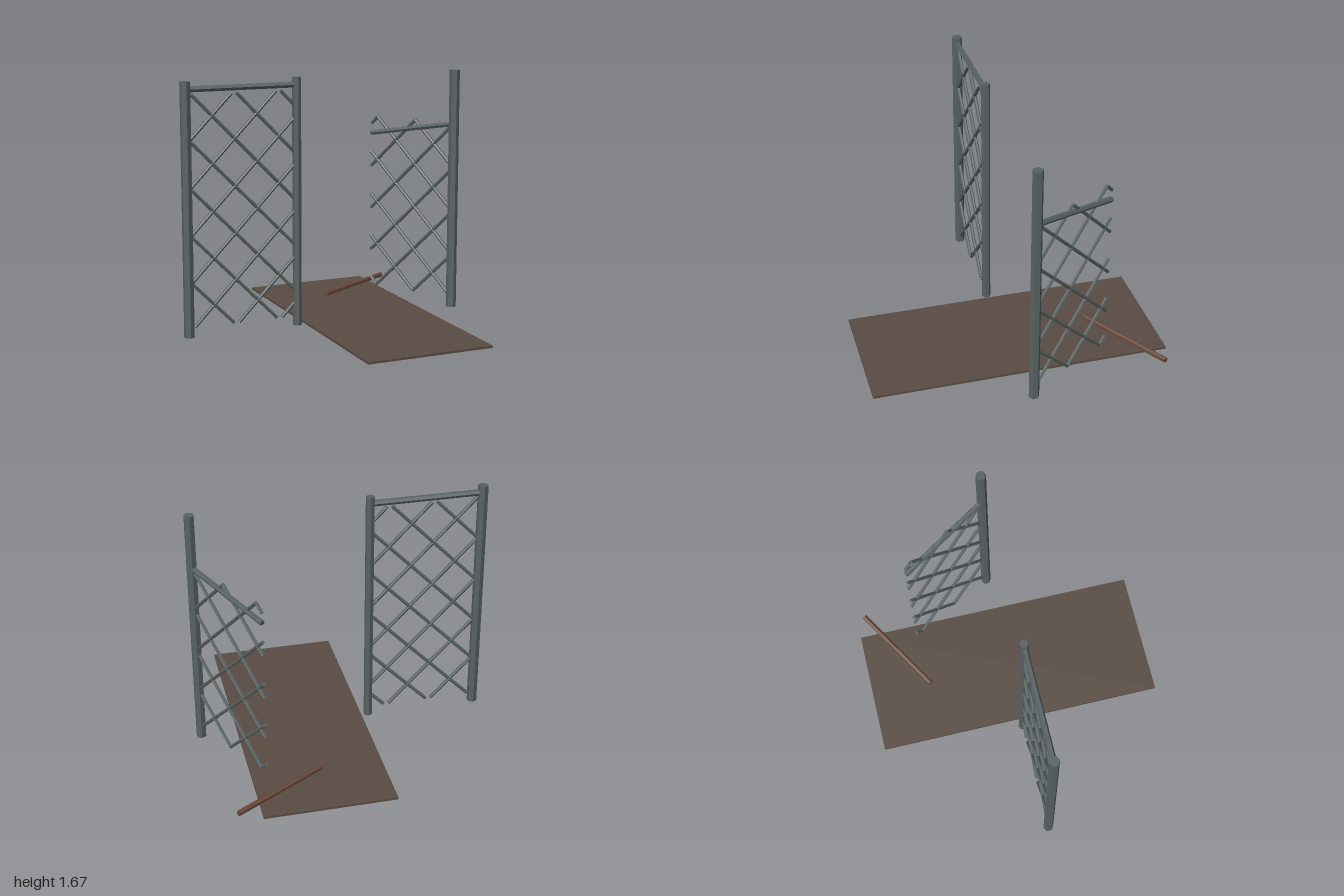
import * as THREE from 'three';

const metal = new THREE.MeshStandardMaterial({ color: 0x586262, flatShading: true });
const earth = new THREE.MeshStandardMaterial({ color: 0x584c43, flatShading: true });
const wood = new THREE.MeshStandardMaterial({ color: 0x69483a, flatShading: true });

// Six-sided bar between two points
function bar(name, a, b, radius, material = metal) {
  const dir = b.clone().sub(a);
  const mesh = new THREE.Mesh(new THREE.CylinderGeometry(radius, radius, dir.length(), 6), material);
  mesh.position.copy(a).add(b).multiplyScalar(0.5);
  mesh.quaternion.setFromUnitVectors(new THREE.Vector3(0, 1, 0), dir.normalize());
  mesh.name = name;
  return mesh;
}

const v = (x, y, z = 0) => new THREE.Vector3(x, y, z);

// Diagonal lattice in the xy plane, clipped to a rectangle;
// rising bars start at x = start + k * pitch on the lower edge
function lattice({ x0, x1, y0, y1, start, pitch, slope, radius }) {
  const group = new THREE.Group();
  group.name = 'lattice';
  for (let k = -6; k <= 6; k++) {
    const foot = start + k * pitch;
    const from = Math.max(x0, foot);
    const to = Math.min(x1, foot + (y1 - y0) / slope);
    if (to - from < 0.015) continue;
    const ya = y0 + slope * (from - foot);
    const yb = y0 + slope * (to - foot);
    group.add(bar('risingBar', v(from, ya), v(to, yb), radius));
    group.add(bar('fallingBar', v(from, y0 + y1 - ya), v(to, y0 + y1 - yb), radius));
  }
  return group;
}

export function createModel() {
  const model = new THREE.Group();
  model.name = 'brokenGate';

  // Ground path
  const path = new THREE.Mesh(new THREE.BoxGeometry(0.875, 0.015, 2), earth);
  path.position.set(0.2825, 0.0075, 0);
  path.name = 'path';
  model.add(path);

  // Upright posts
  for (const [name, x, radius] of [
    ['outerPost', -0.97, 0.035], ['innerPost', -0.208, 0.03], ['gatePost', 0.965, 0.035],
  ]) model.add(bar(name, v(x, 0), v(x, 1.67), radius));

  // Fixed fence panel
  const fence = new THREE.Group();
  fence.name = 'fencePanel';
  fence.add(bar('topRail', v(-0.97, 1.62), v(-0.208, 1.62), 0.021));
  fence.add(lattice({
    x0: -0.945, x1: -0.23, y0: 0.065, y1: 1.585,
    start: -0.93, pitch: 0.305, slope: 1.02, radius: 0.012,
  }));
  model.add(fence);

  // Hinged gate panel, swung backwards with a sagging rail
  const gate = new THREE.Group();
  gate.name = 'swungGate';
  gate.add(bar('saggingRail', v(0.02, 1.295), v(0.687, 1.18), 0.019));
  gate.add(lattice({
    x0: 0.03, x1: 0.687, y0: 0.067, y1: 1.3,
    start: 0, pitch: 0.317, slope: 0.972, radius: 0.012,
  }));
  gate.position.x = 0.965;
  gate.rotation.y = Math.PI * 2 / 3;
  model.add(gate);

  // Fallen wooden rail lying across the path
  model.add(bar('fallenRail', v(0.255, 0.026, -0.575), v(0.87, 0.026, -0.94), 0.019, wood));

  return model;
}
